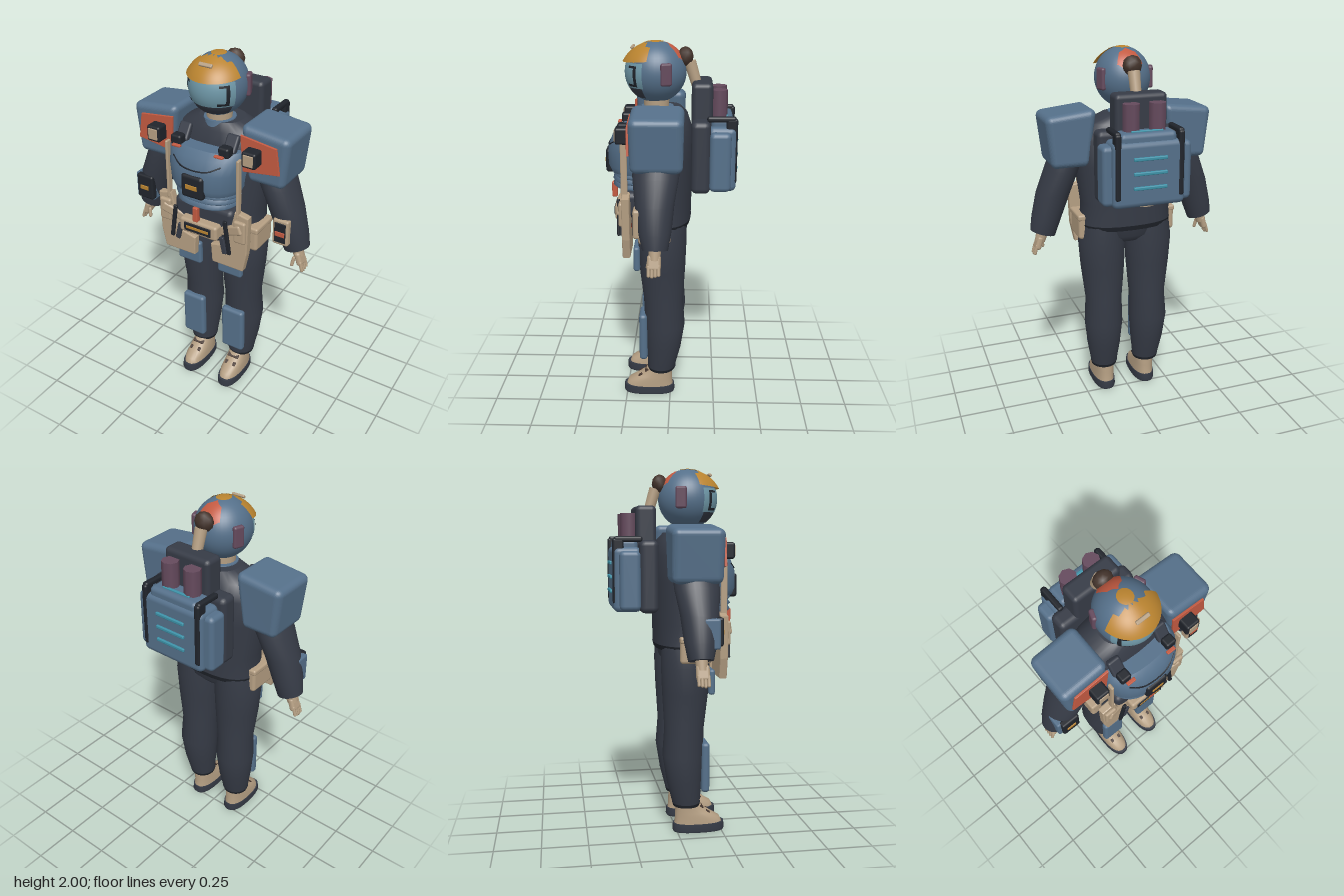
import * as THREE from 'three';
import { RoundedBoxGeometry } from 'three/addons/geometries/RoundedBoxGeometry.js';

const mat = (name, color, side = THREE.FrontSide) => {
  const m = new THREE.MeshStandardMaterial({ color, side });
  m.name = name;
  return m;
};

// Tube of superellipse sections [y, cx, cz, rx, rz]; tilt raises the outer side of the lowest section
function loft(sections, { n = 28, pow = 2, tilt = 0 } = {}) {
  const pos = [], idx = [];
  const bend = v => Math.sign(v) * Math.pow(Math.abs(v), 2 / pow);
  sections.forEach(([y, cx, cz, rx, rz], s) => {
    for (let i = 0; i < n; i++) {
      const a = (i / n) * Math.PI * 2, dx = rx * bend(Math.sin(a));
      pos.push(cx + dx, y + (s === 0 ? tilt * dx : 0), cz + rz * bend(Math.cos(a)));
    }
  });
  for (let s = 0; s < sections.length - 1; s++)
    for (let i = 0; i < n; i++) {
      const a = s * n + i, b = s * n + (i + 1) % n;
      idx.push(a, b, b + n, a, b + n, a + n);
    }
  // separate cap rings keep the end edges sharp
  [[0, -1], [sections.length - 1, 1]].forEach(([s, dir]) => {
    const base = pos.length / 3;
    for (let i = 0; i < n; i++) pos.push(...pos.slice((s * n + i) * 3, (s * n + i) * 3 + 3));
    pos.push(sections[s][1], sections[s][0], sections[s][2]);
    for (let i = 0; i < n; i++) {
      const a = base + i, b = base + (i + 1) % n;
      dir > 0 ? idx.push(a, b, base + n) : idx.push(b, a, base + n);
    }
  });
  const g = new THREE.BufferGeometry();
  g.setAttribute('position', new THREE.Float32BufferAttribute(pos, 3));
  g.setIndex(idx);
  g.computeVertexNormals();
  return g;
}

// Curved patch on the helmet, in degrees around (az) and up (lo to hi, functions of az); k scales it by elevation
const HEAD = [0, 1.84, 0.078], HEAD_R = [0.148, 0.158, 0.16];
function patch(az0, az1, lo, hi, k, nu = 40, nv = 10) {
  const pos = [], idx = [], rad = Math.PI / 180;
  const at = (f, x) => typeof f === 'function' ? f(x) : f;
  for (let j = 0; j <= nv; j++)
    for (let i = 0; i <= nu; i++) {
      const az = az0 + (az1 - az0) * i / nu, el = at(lo, az) + (at(hi, az) - at(lo, az)) * j / nv;
      const e = el * rad, a = az * rad;
      const d = [Math.cos(e) * Math.sin(a), Math.sin(e), Math.cos(e) * Math.cos(a)];
      pos.push(...d.map((v, q) => HEAD[q] + v * HEAD_R[q] * at(k, el)));
    }
  for (let j = 0; j < nv; j++)
    for (let i = 0; i < nu; i++) {
      const a = j * (nu + 1) + i, c = a + nu + 1;
      idx.push(a, a + 1, c + 1, a, c + 1, c);
    }
  const g = new THREE.BufferGeometry();
  g.setAttribute('position', new THREE.Float32BufferAttribute(pos, 3));
  g.setIndex(idx);
  g.computeVertexNormals();
  return g;
}

const box = (w, h, d, r = 0.012) => new RoundedBoxGeometry(w, h, d, 2, Math.min(r, w / 2.1, h / 2.1, d / 2.1));
const cyl = (r0, r1, h, n = 20) => new THREE.CylinderGeometry(r0, r1, h, n);
const plate = (pts, depth, bevel = 0.006) => new THREE.ExtrudeGeometry(
  new THREE.Shape(pts.map(p => new THREE.Vector2(...p))),
  { depth, bevelEnabled: true, bevelSize: bevel, bevelThickness: bevel, bevelSegments: 2 });

function flipX(g) {
  const m = g.index ? g.toNonIndexed() : g.clone();
  m.scale(-1, 1, 1);
  for (const key of Object.keys(m.attributes)) {
    const { array: a, itemSize: s } = m.attributes[key];
    for (let i = 0; i < a.length; i += 3 * s)
      for (let q = 0; q < s; q++) [a[i + s + q], a[i + 2 * s + q]] = [a[i + 2 * s + q], a[i + s + q]];
  }
  return m;
}

export function createModel() {
  const root = new THREE.Group();
  root.name = 'armouredExplorer';
  const cloth = mat('darkCloth', 0x363b46), blue = mat('blueArmour', 0x55708a), beige = mat('beige', 0xb59f83);
  const red = mat('redOrange', 0xc35a41), amber = mat('amber', 0xb9832f, THREE.DoubleSide), teal = mat('teal', 0x3d92a8);
  const glass = mat('paleGlass', 0x6f98a8), plum = mat('plum', 0x654a5d), black = mat('black', 0x20242b), brown = mat('brown', 0x44342c);

  const add = (name, g, m, p = [0, 0, 0], r = [0, 0, 0]) => {
    g.applyMatrix4(new THREE.Matrix4().makeRotationFromEuler(new THREE.Euler(...r)).setPosition(...p));
    const mesh = new THREE.Mesh(g, m);
    mesh.name = name;
    root.add(mesh);
    return mesh;
  };
  const pair = (name, g, m, p, r) => {
    const left = add(name + 'Left', g, m, p, r);
    add(name + 'Right', flipX(left.geometry), m);
  };

  // Torso, hips, collar and neck
  add('torso', loft([[1.06, 0, 0.045, 0.255, 0.155], [1.18, 0, 0.045, 0.25, 0.158],
    [1.4, 0, 0.045, 0.28, 0.165], [1.54, 0, 0.04, 0.28, 0.155], [1.62, 0, 0.04, 0.22, 0.13], [1.66, 0, 0.045, 0.12, 0.1]], { pow: 2.4 }), cloth);
  add('hips', loft([[0.95, 0, 0.045, 0.1, 0.09], [0.99, 0, 0.045, 0.2, 0.125], [1.08, 0, 0.045, 0.248, 0.142]], { pow: 2.3 }), cloth);
  add('waistBand', loft([[1.035, 0, 0.045, 0.25, 0.15], [1.062, 0, 0.045, 0.258, 0.157]], { pow: 2.4 }), black);
  add('collar', loft([[1.59, 0, 0.065, 0.1, 0.105], [1.665, 0, 0.07, 0.082, 0.085]]), blue);
  add('neck', cyl(0.068, 0.065, 0.12), beige, [0, 1.69, 0.075]);

  // Legs, pads and shoes
  pair('leg', loft([[0.16, 0.13, 0.052, 0.074, 0.075], [0.3, 0.134, 0.038, 0.095, 0.097], [0.45, 0.136, 0.03, 0.11, 0.112],
    [0.6, 0.132, 0.038, 0.104, 0.109], [0.8, 0.135, 0.043, 0.124, 0.126], [0.95, 0.137, 0.043, 0.133, 0.132], [1.08, 0.13, 0.04, 0.12, 0.125]]), cloth);
  pair('trouserCuff', loft([[0.155, 0.13, 0.052, 0.073, 0.074], [0.172, 0.13, 0.052, 0.078, 0.079]]), black);
  pair('shinPad', box(0.14, 0.28, 0.045, 0.018), blue, [0.132, 0.38, 0.15]);
  pair('thighPad', box(0.15, 0.14, 0.035, 0.014), blue, [0.13, 0.86, 0.18]);
  pair('sole', loft([[0.003, 0.125, 0.122, 0.06, 0.142], [0.015, 0.125, 0.122, 0.065, 0.147], [0.052, 0.125, 0.122, 0.063, 0.144]], { pow: 2.5 }), cloth);
  for (const [z, d] of [[0.19, 0.07], [0.03, 0.05]])
    pair('solePatch', box(0.07, 0.006, d, 0.002), beige, [0.125, 0.003, z]);
  pair('shoe', loft([[0.045, 0.125, 0.12, 0.06, 0.136], [0.08, 0.125, 0.115, 0.059, 0.125], [0.11, 0.125, 0.09, 0.056, 0.1],
    [0.14, 0.125, 0.068, 0.053, 0.075], [0.19, 0.127, 0.055, 0.052, 0.06]], { pow: 2.4 }), beige);
  for (const [y, z] of [[0.115, 0.172], [0.145, 0.135]])
    pair('shoeStrap', box(0.07, 0.008, 0.025, 0.003), brown, [0.125, y, z], [0.6, 0, 0]);

  // Arms and hands
  pair('arm', loft([[1.025, 0.467, 0.065, 0.067, 0.065], [1.12, 0.44, 0.068, 0.083, 0.085], [1.25, 0.4, 0.07, 0.093, 0.1],
    [1.38, 0.35, 0.065, 0.092, 0.118], [1.5, 0.305, 0.058, 0.09, 0.112], [1.6, 0.26, 0.05, 0.08, 0.09]], { tilt: 0.3 }), cloth);
  pair('wrist', cyl(0.034, 0.028, 0.07), beige, [0.474, 1.01, 0.067], [0, 0, 0.3]);
  pair('palm', box(0.034, 0.08, 0.07, 0.015), beige, [0.492, 0.968, 0.07], [0, 0, 0.3]);
  for (let i = 0; i < 4; i++)
    pair('finger', new THREE.CapsuleGeometry(0.009, 0.045, 3, 8), beige, [0.512, 0.925 + Math.abs(i - 2) * 0.004, 0.046 + i * 0.017], [0, 0, 0.28]);
  pair('thumb', new THREE.CapsuleGeometry(0.01, 0.04, 3, 8), beige, [0.465, 0.95, 0.1], [-0.2, 0, -0.15]);

  // Shoulder armour, tapering towards the elbow and bulging slightly at the sides
  const pad = new RoundedBoxGeometry(0.275, 0.29, 0.265, 5, 0.035), pp = pad.attributes.position;
  for (let i = 0; i < pp.count; i++) {
    const t = 0.5 - pp.getY(i) / 0.29, bulge = 1 + 0.05 * (1 - Math.pow(pp.getX(i) / 0.1375, 2));
    pp.setX(i, pp.getX(i) * (1 - 0.28 * t) + 0.008 * t);
    pp.setY(i, pp.getY(i) - 0.11 * (pp.getX(i) + 0.02) * (1 - t));
    pp.setZ(i, pp.getZ(i) * bulge * (1 - 0.04 * t));
  }
  pad.computeVertexNormals();
  pair('shoulderPad', pad, blue, [0.322, 1.548, 0.06]);
  pair('shoulderPanel', plate([[0.2, 1.655], [0.395, 1.63], [0.415, 1.495], [0.215, 1.465]], 0.008, 0.002), red, [0, 0, 0.196]);
  pair('shoulderLamp', box(0.078, 0.085, 0.075), black, [0.28, 1.567, 0.233]);
  pair('lampFace', box(0.055, 0.06, 0.01, 0.004), beige, [0.28, 1.567, 0.27]);

  // Forearm devices
  add('wristPlate', box(0.12, 0.155, 0.085), blue, [-0.44, 1.16, 0.118]);
  add('wristUnit', box(0.105, 0.145, 0.04), black, [-0.428, 1.168, 0.16]);
  add('wristBar', box(0.055, 0.025, 0.008, 0.003), amber, [-0.43, 1.165, 0.181]);
  add('tabletFrame', box(0.09, 0.15, 0.05), beige, [0.42, 1.155, 0.152]);
  add('tabletScreen', box(0.064, 0.115, 0.008, 0.003), black, [0.42, 1.155, 0.177]);
  add('tabletMark', box(0.055, 0.028, 0.008, 0.003), red, [0.42, 1.148, 0.18]);

  // Chest armour and stacked abdomen ribs
  add('chestPlate', loft([[1.325, 0, 0.14, 0.19, 0.18], [1.36, 0, 0.14, 0.205, 0.195], [1.45, 0, 0.14, 0.215, 0.195],
    [1.52, 0, 0.14, 0.22, 0.168], [1.553, 0, 0.14, 0.2, 0.13]], { pow: 2.5 }), blue);
  for (let i = 0; i < 3; i++) {
    const y = 1.235 + i * 0.033, w = 0.165 + i * 0.01;
    add('abdomenRib', loft([[y, 0, 0.14, w, 0.158], [y + 0.012, 0, 0.14, w + 0.01, 0.172], [y + 0.032, 0, 0.14, w, 0.158]], { pow: 2.5 }), blue);
  }
  add('chestSeam', new THREE.TubeGeometry(new THREE.CatmullRomCurve3([[-0.14, 1.5, 0.289], [-0.07, 1.47, 0.324], [0.07, 1.47, 0.324], [0.14, 1.5, 0.289]]
    .map(p => new THREE.Vector3(...p))), 16, 0.004, 6), black);
  add('chestUnit', box(0.13, 0.13, 0.045, 0.018), black, [0, 1.375, 0.325]);
  add('chestBar', box(0.07, 0.026, 0.008, 0.003), amber, [0, 1.375, 0.347]);
  add('frontTab', box(0.03, 0.085, 0.03, 0.006), red, [0, 1.2, 0.308]);
  pair('harnessStrap', box(0.016, 0.33, 0.035, 0.006), beige, [0.212, 1.375, 0.238]);
  pair('shoulderStrap', box(0.07, 0.1, 0.035), cloth, [0.14, 1.585, 0.185], [-0.6, 0, 0]);
  pair('strapClip', box(0.06, 0.055, 0.055), black, [0.14, 1.57, 0.245]);
  pair('clipTag', box(0.05, 0.012, 0.02, 0.004), red, [0.125, 1.552, 0.283]);

  // Belt, pouches and hanging straps
  add('lowerFront', box(0.36, 0.14, 0.1, 0.03), cloth, [0, 1.16, 0.2]);
  add('buckle', box(0.23, 0.085, 0.07, 0.016), beige, [0, 1.1, 0.265]);
  add('buckleInset', box(0.165, 0.05, 0.012, 0.004), black, [0, 1.1, 0.299]);
  add('buckleBar', box(0.14, 0.018, 0.008, 0.003), amber, [0, 1.1, 0.303]);
  pair('belt', box(0.17, 0.055, 0.05), beige, [0.17, 1.125, 0.238], [0, -0.2, 0.4]);
  pair('tassetPouch', plate([[0.2, 1.235], [0.27, 1.22], [0.262, 1.0], [0.24, 0.895], [0.062, 0.895], [0.055, 0.995], [0.15, 1.02]], 0.03), beige, [0, 0, 0.215]);
  pair('pouchFront', box(0.07, 0.13, 0.03), beige, [0.23, 1.135, 0.252]);
  pair('hangingStrap', box(0.022, 0.2, 0.016, 0.005), black, [0.165, 1.09, 0.275], [0, 0, 0.14]);
  pair('strapEnd', box(0.028, 0.1, 0.016, 0.005), cloth, [0.138, 1.03, 0.268], [0, 0, 0.22]);
  pair('hipPouch', box(0.07, 0.14, 0.17, 0.018), beige, [0.245, 1.045, 0.08]);
  pair('hipPouchFlap', box(0.076, 0.035, 0.174), beige, [0.246, 1.1, 0.08]);

  // Helmet with painted crown, flared brim, visor and ear pads
  add('helmet', new THREE.SphereGeometry(1, 40, 28).scale(...HEAD_R), blue, HEAD);
  const zig = az => Math.abs(((az + 300) % 30) / 15 - 1);
  add('crownPaint', patch(-76, 76, az => 18 + az * az / 1200, az => Math.max(27, 80 - 26 * Math.pow(az / 76, 2) - 9 * zig(az)),
    el => 1.018 + 0.11 * Math.pow(Math.max(0, 62 - el) / 44, 1.3), 76, 16), amber);
  add('crownBadge', box(0.075, 0.014, 0.02, 0.005), beige, [0, 1.967, 0.197], [0.7, 0, 0]);
  add('crownSpot', new THREE.SphereGeometry(1.016, 24, 6, 0, Math.PI * 2, 0, 0.26).scale(...HEAD_R), amber, HEAD);
  add('rearStripe', patch(148, 212, az => 22 + 8 * zig(az), az => 74 - Math.abs(az - 180) / 2, 1.012), red);
  add('visor', patch(-66, 66, -27, 20, 1.015), glass);
  add('chinGuard', patch(-62, 62, -52, -27, 1.01), cloth);
  pair('visorFrameSide', patch(47, 54, -22, 14, 1.035, 6, 8), black);
  pair('visorFrameTop', patch(34, 54, 11, 15, 1.035, 10, 2), black);
  pair('visorFrameBottom', patch(30, 54, -23, -18, 1.035, 10, 2), black);
  pair('earPad', box(0.028, 0.115, 0.06), plum, [0.135, 1.843, 0.02], [0, 0.35, 0]);
  add('aerialStem', cyl(0.032, 0.027, 0.14), beige, [0, 1.825, -0.12], [0.3, 0, 0]);
  add('aerialKnob', new THREE.IcosahedronGeometry(0.052, 1).scale(1, 1, 0.8), brown, [0, 1.918, -0.076]);

  // Backpack
  add('packBase', box(0.46, 0.38, 0.1, 0.03), cloth, [0, 1.43, -0.16]);
  add('packTop', box(0.28, 0.26, 0.11, 0.025), cloth, [0, 1.67, -0.165]);
  add('packShell', box(0.39, 0.34, 0.15, 0.03), blue, [0, 1.415, -0.27]);
  add('packUpper', box(0.3, 0.09, 0.12, 0.025), blue, [0, 1.58, -0.27]);
  pair('packSide', box(0.07, 0.31, 0.11, 0.025), blue, [0.205, 1.41, -0.26]);
  pair('packStrap', box(0.032, 0.34, 0.06), black, [0.168, 1.46, -0.318]);
  pair('packStrapTop', box(0.032, 0.03, 0.15), black, [0.168, 1.625, -0.265]);
  pair('canister', cyl(0.045, 0.045, 0.18, 8), plum, [0.07, 1.67, -0.252]);
  add('packTopStripe', box(0.17, 0.012, 0.016, 0.004), teal, [0, 1.626, -0.292]);
  for (let i = 0; i < 3; i++)
    add('packStripe', box(0.18, 0.018, 0.018, 0.005), teal, [0, 1.35 + i * 0.075, -0.347]);
  add('packVent', cyl(0.06, 0.06, 0.012, 24), beige, [0, 1.242, -0.25]);
  return root;
}
